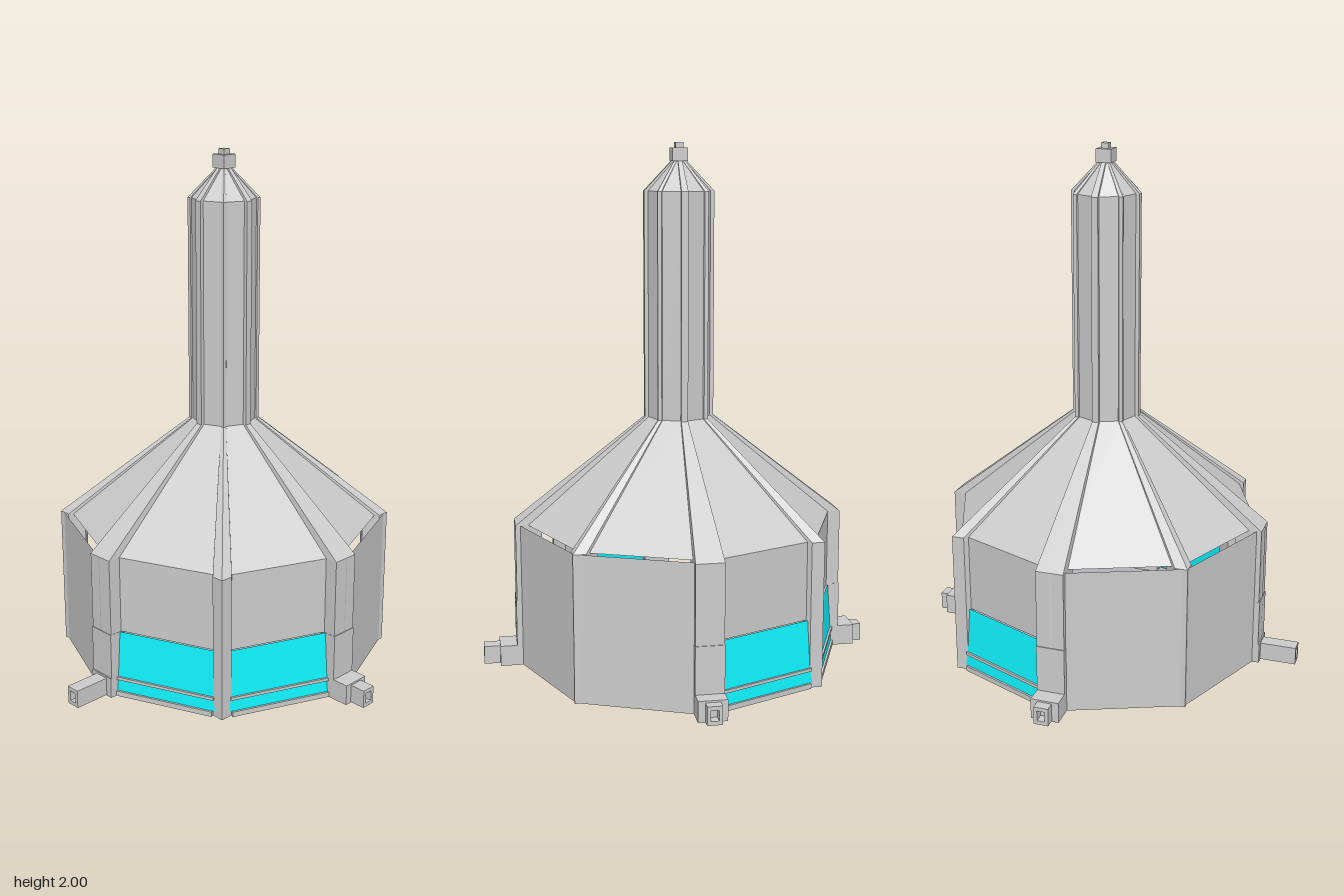
import * as THREE from 'three';

const mat = (color, side = THREE.FrontSide) =>
  new THREE.MeshStandardMaterial({ color, side, flatShading: true });
const GREY = mat(0xcccccc), GLASS = mat(0x0ff5ff, THREE.DoubleSide);
const FLOOR = mat(0xb0b2b8), PATCH = mat(0x75778c), DARK = mat(0x55565c);
const GREEN = mat(0x22cc33);

function add(parent, name, geometry, material = GREY, x = 0, y = 0, z = 0) {
  const mesh = new THREE.Mesh(geometry, material);
  mesh.name = name;
  mesh.position.set(x, y, z);
  parent.add(mesh);
  return mesh;
}

// Box given by radial range, height range and width (local x points outward)
function block(parent, name, r0, r1, y0, y1, w, material) {
  return add(parent, name, new THREE.BoxGeometry(r1 - r0, y1 - y0, w), material,
    (r0 + r1) / 2, (y0 + y1) / 2, 0);
}

// Group whose local x axis points outward at an angle
function spoke(parent, name, angle) {
  const g = new THREE.Group();
  g.name = name;
  g.rotation.y = -angle;
  parent.add(g);
  return g;
}

// Flat panel facing outward, from (r0, y0) up to (r1, y1)
function panel(parent, name, r0, y0, r1, y1, half, material) {
  const g = new THREE.BufferGeometry();
  g.setAttribute('position', new THREE.Float32BufferAttribute(
    [r0, y0, half, r0, y0, -half, r1, y1, -half, r1, y1, half], 3));
  g.setIndex([0, 1, 2, 0, 2, 3]);
  g.computeVertexNormals();
  return add(parent, name, g, material);
}

// Rib swept through stations [radius, height, half width, depth];
// a pointed rib has a right-angled outer edge
function ribGeometry(stations, pointed) {
  const pos = [], idx = [], n = 5;
  for (const [r, y, h, d] of stations) {
    const k = pointed ? h : 0;
    pos.push(r - d, y, -h, r - k, y, -h, r, y, 0, r - k, y, h, r - d, y, h);
  }
  const last = (stations.length - 1) * n;
  for (let s = 0; s < last; s += n)
    for (let i = 0; i < n; i++) {
      const a = s + i, b = s + (i + 1) % n;
      idx.push(a, a + n, b, b, a + n, b + n);
    }
  for (let i = 1; i < n - 1; i++) {
    idx.push(0, i, i + 1);
    idx.push(last, last + i + 1, last + i);
  }
  const g = new THREE.BufferGeometry();
  g.setAttribute('position', new THREE.Float32BufferAttribute(pos, 3));
  g.setIndex(idx);
  g.computeVertexNormals();
  return g;
}

// Rectangular frame with a rectangular hole, extruded along z
function frameGeometry(w, h, hw, hh, depth) {
  const rect = (C, a, b) => new C().moveTo(-a, -b).lineTo(a, -b).lineTo(a, b).lineTo(-a, b).closePath();
  const s = rect(THREE.Shape, w / 2, h / 2);
  s.holes.push(rect(THREE.Path, hw / 2, hh / 2));
  return new THREE.ExtrudeGeometry(s, { depth, bevelEnabled: false });
}

export function createModel() {
  const model = new THREE.Group();
  model.name = 'tower';
  const body = new THREE.Group();
  body.name = 'body';
  body.position.set(-0.012, 0, -0.03);
  model.add(body);

  // Roof, chimney and cap: stacked octagonal rings
  const ring = (name, r0, y0, r1, y1) => add(body, name,
    new THREE.CylinderGeometry(r1, r0, y1 - y0, 8, 1, true), GREY, 0, (y0 + y1) / 2, 0);
  ring('roof', 0.615, 0.56, 0.125, 0.96);
  ring('chimney', 0.125, 0.96, 0.125, 1.82);
  ring('chimneyCap', 0.125, 1.82, 0.025, 1.93);
  add(body, 'finial', new THREE.BoxGeometry(0.06, 0.05, 0.06), GREY, 0, 1.955, 0);
  add(body, 'finialTip', new THREE.BoxGeometry(0.03, 0.02, 0.03), GREY, 0, 1.99, 0);

  // Ribs on the eight corners, running from the ground to the finial
  const straight = ribGeometry([[0.642, 0, 0.053, 0.1], [0.642, 0.56, 0.053, 0.1],
    [0.134, 0.96, 0.013, 0.04], [0.134, 1.82, 0.013, 0.04], [0.03, 1.93, 0.008, 0.02]], false);
  const pointed = ribGeometry([[0.654, 0, 0.034, 0.1], [0.654, 0.56, 0.034, 0.1],
    [0.136, 0.96, 0.01, 0.04], [0.136, 1.82, 0.01, 0.04], [0.03, 1.93, 0.006, 0.02]], true);
  for (let i = 0; i < 8; i++)
    add(spoke(body, 'ribSpoke', i * Math.PI / 4), 'rib', i % 2 ? pointed : straight);

  // Walls: two opposite quadrants are glazed, the other two are plain
  for (let i = 0; i < 8; i++) {
    const side = spoke(body, 'wallSide', (i + 0.5) * Math.PI / 4);
    if (i % 4 < 2) {
      panel(side, 'upperWall', 0.568, 0.26, 0.568, 0.56, 0.235, GREY);
      panel(side, 'window', 0.59, 0.02, 0.574, 0.26, 0.215, GLASS);
      block(side, 'windowBar', 0.55, 0.594, 0.066, 0.078, 0.42, GREY);
      block(side, 'sill', 0.54, 0.598, 0, 0.02, 0.41, GREY);
    } else {
      panel(side, 'plainWall', 0.596, 0, 0.596, 0.56, 0.247, GREY);
    }
  }

  // Feet with hollow ends and the brackets above them
  const reach = [0.772, 0.79, 0.748, 0.735];
  const shoulder = [0.71, 0.65, 0.71, 0.70];
  reach.forEach((end, i) => {
    const foot = spoke(body, 'foot', i * Math.PI / 2);
    block(foot, 'bracket', 0.57, 0.645, 0.08, 0.26, 0.108);
    block(foot, 'footShoulder', 0.57, shoulder[i], 0, 0.08, 0.108);
    const tube = frameGeometry(0.056, 0.07, 0.03, 0.04, end - shoulder[i]);
    tube.rotateY(Math.PI / 2);
    add(foot, 'footTube', tube, GREY, shoulder[i], 0.038, 0);
  });

  // Octagonal floor with a square opening
  const outline = new THREE.Shape();
  for (let i = 0; i < 8; i++) {
    const a = i * Math.PI / 4;
    outline[i ? 'lineTo' : 'moveTo'](0.615 * Math.cos(a), 0.615 * Math.sin(a));
  }
  outline.closePath();
  outline.holes.push(new THREE.Path().moveTo(-0.07, -0.07).lineTo(0.07, -0.07)
    .lineTo(0.07, 0.07).lineTo(-0.07, 0.07).closePath());
  const floor = new THREE.ExtrudeGeometry(outline, { depth: 0.02, bevelEnabled: false });
  add(body, 'floor', floor.rotateX(Math.PI / 2), FLOOR, 0, 0.032, 0);

  // Stepped dark patch under the floor, in rows of square cells
  const cell = 0.14;
  for (let j = -3; j <= 3; j++) {
    const n = 3 - Math.abs(j);
    if (j) add(body, 'floorPatch', new THREE.BoxGeometry((2 * n + 1) * cell, 0.01, cell), PATCH, 0, 0.009, j * cell);
    else for (const s of [-1, 1])
      add(body, 'floorPatch', new THREE.BoxGeometry(3 * cell, 0.01, cell), PATCH, s * 2 * cell, 0.009, 0);
  }

  // Central hatch: frame, tapered recess and a green light
  const hatch = frameGeometry(0.22, 0.22, 0.11, 0.11, 0.012);
  add(body, 'hatchFrame', hatch.rotateX(Math.PI / 2), DARK, 0, 0.013, 0);
  const recess = new THREE.CylinderGeometry(0.025, 0.08, 0.1, 4, 1, true).rotateY(Math.PI / 4);
  add(body, 'hatchRecess', recess, mat(0xcccccc, THREE.DoubleSide), 0, 0.062, 0);
  add(body, 'hatchLight', new THREE.BoxGeometry(0.045, 0.02, 0.045), GREEN, 0, 0.115, 0);

  return model;
}
